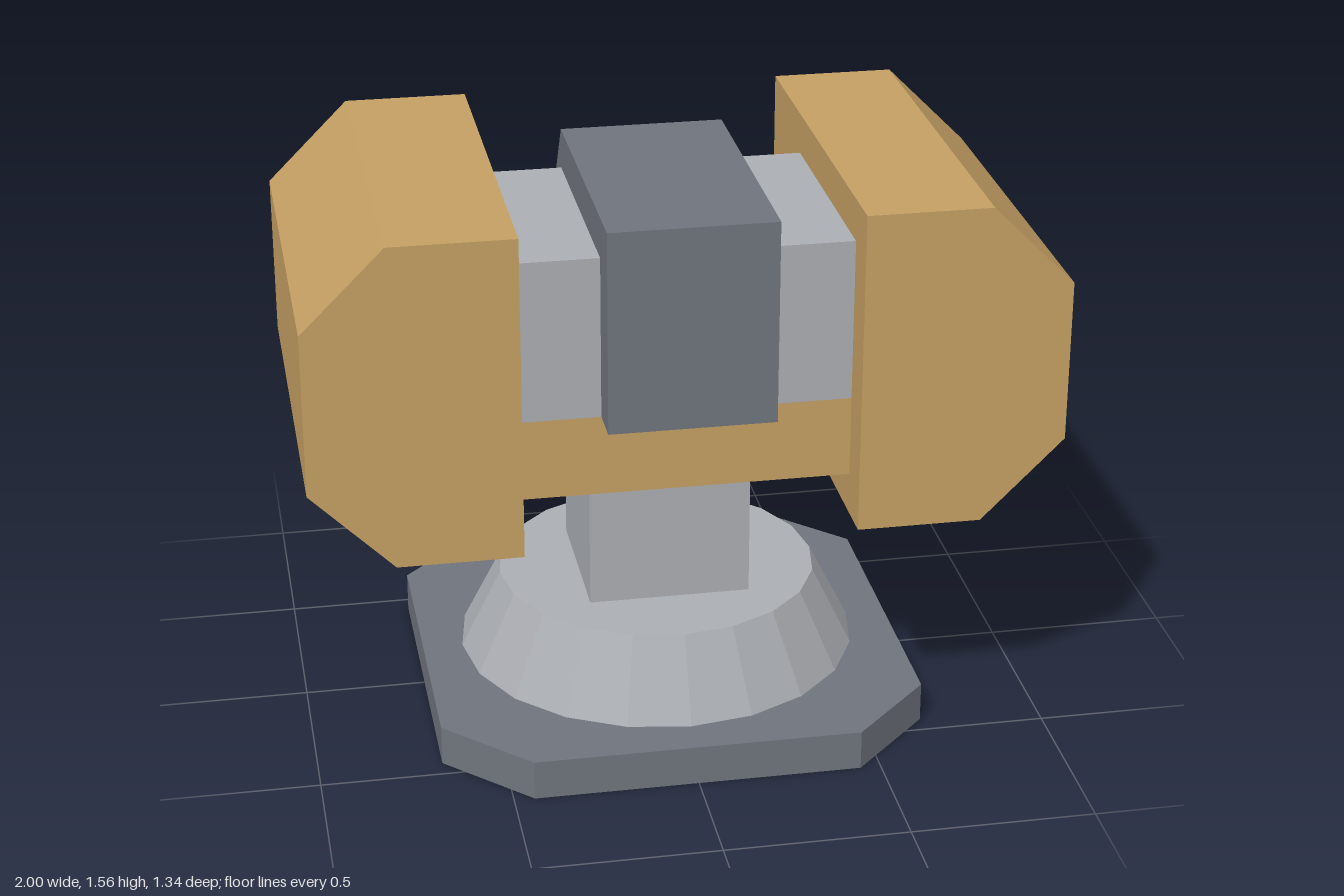
import * as THREE from 'three';

const U = 1 / 9; // design grid unit

function material(name, color) {
  const m = new THREE.MeshStandardMaterial({ color });
  m.name = name;
  return m;
}

function shapeOf(points) {
  return new THREE.Shape(points.map(([x, y]) => new THREE.Vector2(x * U, y * U)));
}

// Prism along z, from z0 to z1 (grid units), with optional hole
function prismZ(points, z0, z1, hole) {
  const shape = shapeOf(points);
  if (hole) shape.holes.push(shapeOf(hole));
  const g = new THREE.ExtrudeGeometry(shape, { depth: (z1 - z0) * U, bevelEnabled: false });
  return g.translate(0, 0, z0 * U);
}

// Prism across x from a (z, y) side profile, centred on x = 0
function prismX(points, width) {
  return prismZ(points, -width / 2, width / 2).rotateY(-Math.PI / 2);
}

export function createModel() {
  const tan = material('tan paint', 0xc4a063);
  const light = material('light grey metal', 0xabaeb3);
  const dark = material('dark grey metal', 0x70757d);
  [light, dark].forEach((m) => { m.flatShading = true; });

  const root = new THREE.Group();
  root.name = 'turret';
  const add = (name, geometry, mat, parent = root) => {
    const mesh = new THREE.Mesh(geometry, mat);
    mesh.name = name;
    parent.add(mesh);
    return mesh;
  };

  // Base plate with cut corners
  const plate = [[-4, -6], [4, -6], [6, -4], [6, 4], [4, 6], [-4, 6], [-6, 4], [-6, -4]];
  add('basePlate', prismZ(plate, 0, 1).rotateX(-Math.PI / 2), dark);

  // Tapered pedestal and square post
  add('pedestal', new THREE.CylinderGeometry(4 * U, 5 * U, 2 * U, 20).translate(0, 2 * U, 0), light);
  add('post', new THREE.BoxGeometry(4 * U, 4 * U, 4 * U).translate(0, 5 * U, 0), light);

  // Cross body between the pods: painted lower half, bare upper half
  add('bodyLower', new THREE.BoxGeometry(8 * U, 2 * U, 8 * U).translate(0, 8 * U, 0), tan);
  add('bodyUpper', prismX([[-4, 9], [4, 9], [4, 13], [-2, 13], [-4, 11]], 8), light);

  // Central housing with a sloped back
  add('centreHousing', prismX([[-4, 11], [-3.9, 9], [5, 9], [5, 14], [-2, 14]], 4), dark);

  // Pods with recessed backs, two barrels each
  for (const side of [1, -1]) {
    const pod = new THREE.Group();
    pod.name = side > 0 ? 'leftPod' : 'rightPod';
    root.add(pod);
    const mirror = (pts) => pts.map(([x, y]) => [x * side, y]);
    const outline = mirror([[4, 6], [7, 6], [9, 8], [9, 12], [7, 14], [4, 14]]);
    const opening = mirror([[5, 7], [6.6, 7], [8, 8.4], [8, 11.6], [6.6, 13], [5, 13]]);
    add('podShell', prismZ(outline, -3, 5), tan, pod);
    add('podRearRim', prismZ(outline, -5, -3, opening), tan, pod);
    for (const y of [8.5, 11.5]) {
      const barrel = new THREE.CylinderGeometry(U, U, 3 * U, 12).rotateX(Math.PI / 2);
      add('barrel', barrel.translate(6.5 * side * U, y * U, -4.5 * U), light, pod);
      const bore = new THREE.CylinderGeometry(0.55 * U, 0.55 * U, 0.004, 12).rotateX(Math.PI / 2);
      add('barrelBore', bore.translate(6.5 * side * U, y * U, -6 * U - 0.001), dark, pod);
    }
  }
  return root;
}
